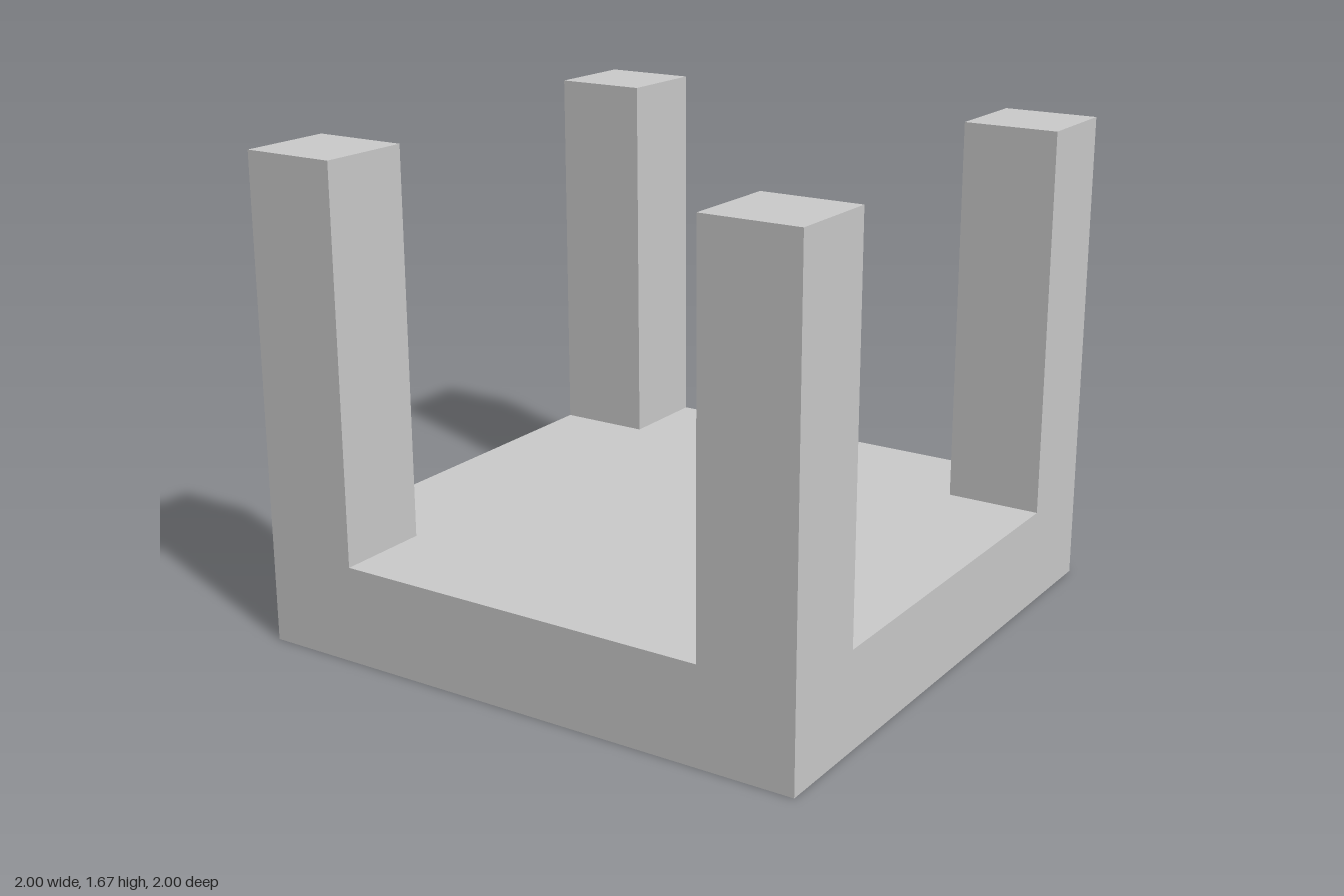
import * as THREE from 'three';

const SIZE = 2;            // side of the square base
const UNIT = SIZE / 6;     // base thickness and post width
const POST_HEIGHT = 4 * UNIT;

export function createModel() {
  const model = new THREE.Group();
  model.name = 'fourPostBase';
  const material = new THREE.MeshStandardMaterial({ color: 0xcccccc, flatShading: true });

  // Square slab
  const base = new THREE.Mesh(new THREE.BoxGeometry(SIZE, UNIT, SIZE), material);
  base.name = 'base';
  base.position.y = UNIT / 2;
  model.add(base);

  // One square post flush with each corner
  const postGeometry = new THREE.BoxGeometry(UNIT, POST_HEIGHT, UNIT);
  const offset = (SIZE - UNIT) / 2;
  for (const [xName, x] of [['Left', 1], ['Right', -1]]) {
    for (const [zName, z] of [['front', 1], ['back', -1]]) {
      const post = new THREE.Mesh(postGeometry, material);
      post.name = `${zName}${xName}Post`;
      post.position.set(x * offset, UNIT + POST_HEIGHT / 2, z * offset);
      model.add(post);
    }
  }
  return model;
}
